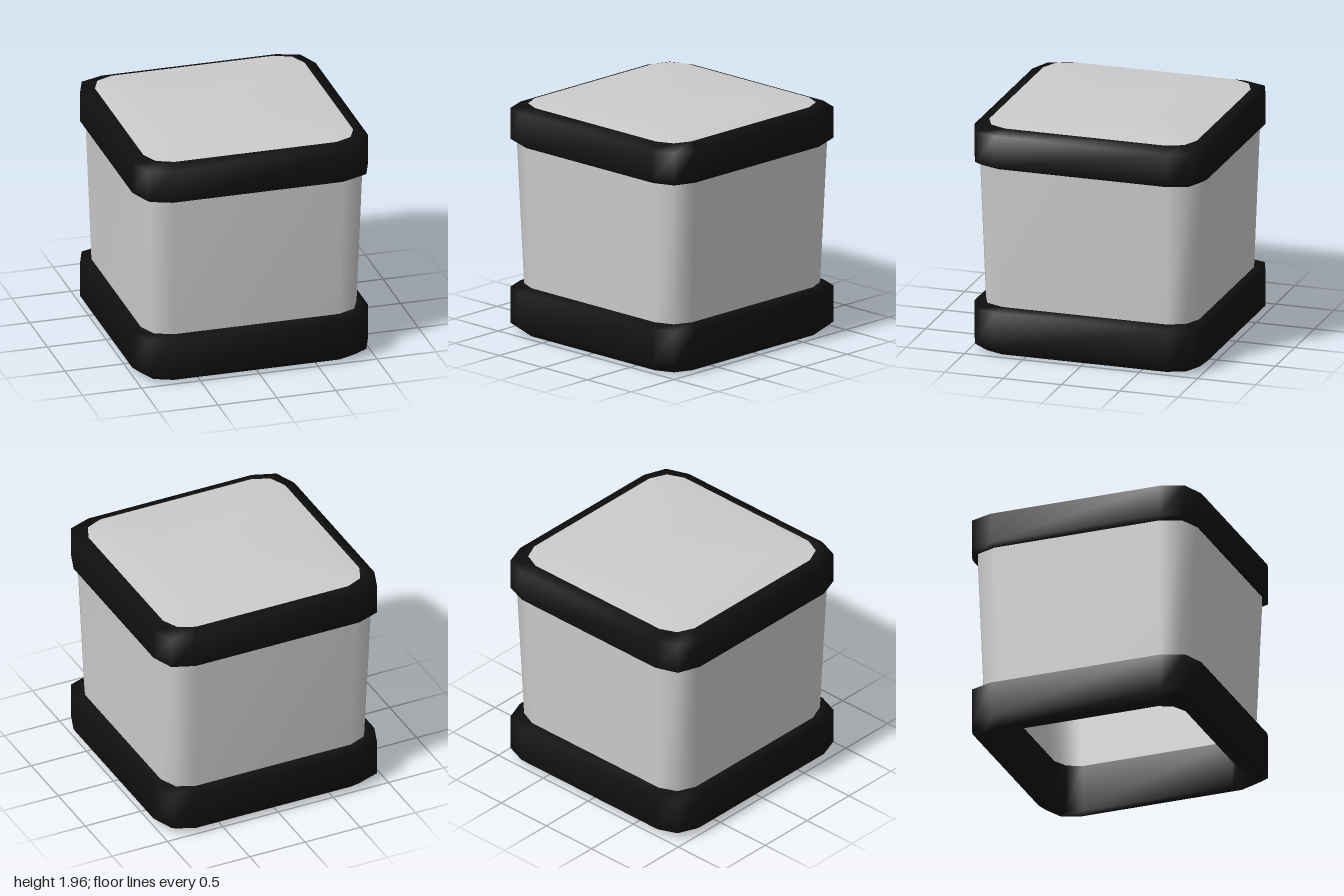
import * as THREE from 'three';

// Square outline of half-width r with each corner cut by three points.
function outline(r) {
  const c = r * (0.74 + 0.3 * (1 - r)), d = r * 0.93;
  const points = [];
  for (let q = 0; q < 4; q++) {
    const cos = Math.round(Math.cos(q * Math.PI / 2));
    const sin = Math.round(Math.sin(q * Math.PI / 2));
    for (const [x, z] of [[r, c], [d, d], [c, r]]) {
      points.push([x * cos - z * sin, x * sin + z * cos]);
    }
  }
  return points;
}

// Skin through outlines given as [half-width, height] pairs.
function loft(profile, closed = false) {
  const positions = [], index = [], n = 12, rows = profile.length;
  for (const [r, y] of profile) {
    for (const [x, z] of outline(r)) positions.push(x, y, z);
  }
  for (let i = 0; i < (closed ? rows : rows - 1); i++) {
    for (let j = 0; j < n; j++) {
      const k = (j + 1) % n, up = ((i + 1) % rows) * n;
      const a = i * n + j, b = i * n + k, c = up + j, d = up + k;
      index.push(a, c, b, b, c, d);
    }
  }
  const geometry = new THREE.BufferGeometry();
  geometry.setAttribute('position', new THREE.Float32BufferAttribute(positions, 3));
  geometry.setIndex(index);
  geometry.computeVertexNormals();
  return geometry;
}

export function createModel() {
  const group = new THREE.Group();
  const grey = new THREE.MeshStandardMaterial({ color: 0xcccccc, side: THREE.DoubleSide });
  const black = new THREE.MeshStandardMaterial({ color: 0x101010 });
  const add = (name, geometry, material) => {
    const mesh = new THREE.Mesh(geometry, material);
    mesh.name = name;
    group.add(mesh);
  };

  // Hollow base frame, open underneath
  add('baseFrame', loft([
    [0.83, 0], [0.92, 0], [1, 0.07], [1, 0.375], [0.92, 0.405], [0.83, 0.405],
  ], true), black);

  // Walls flaring slightly upwards
  add('walls', loft([[0.915, 0.39], [0.96, 1.62]]), grey);

  // Frame around the lid
  add('topFrame', loft([
    [0.9, 1.6], [0.96, 1.6], [1, 1.63], [1, 1.89], [0.89, 1.93], [0.87, 1.88],
  ], true), black);

  // Shallow domed lid
  add('lid', loft([[0.89, 1.93], [0.67, 1.95], [0.35, 1.954], [0, 1.955]]), grey);

  return group;
}
